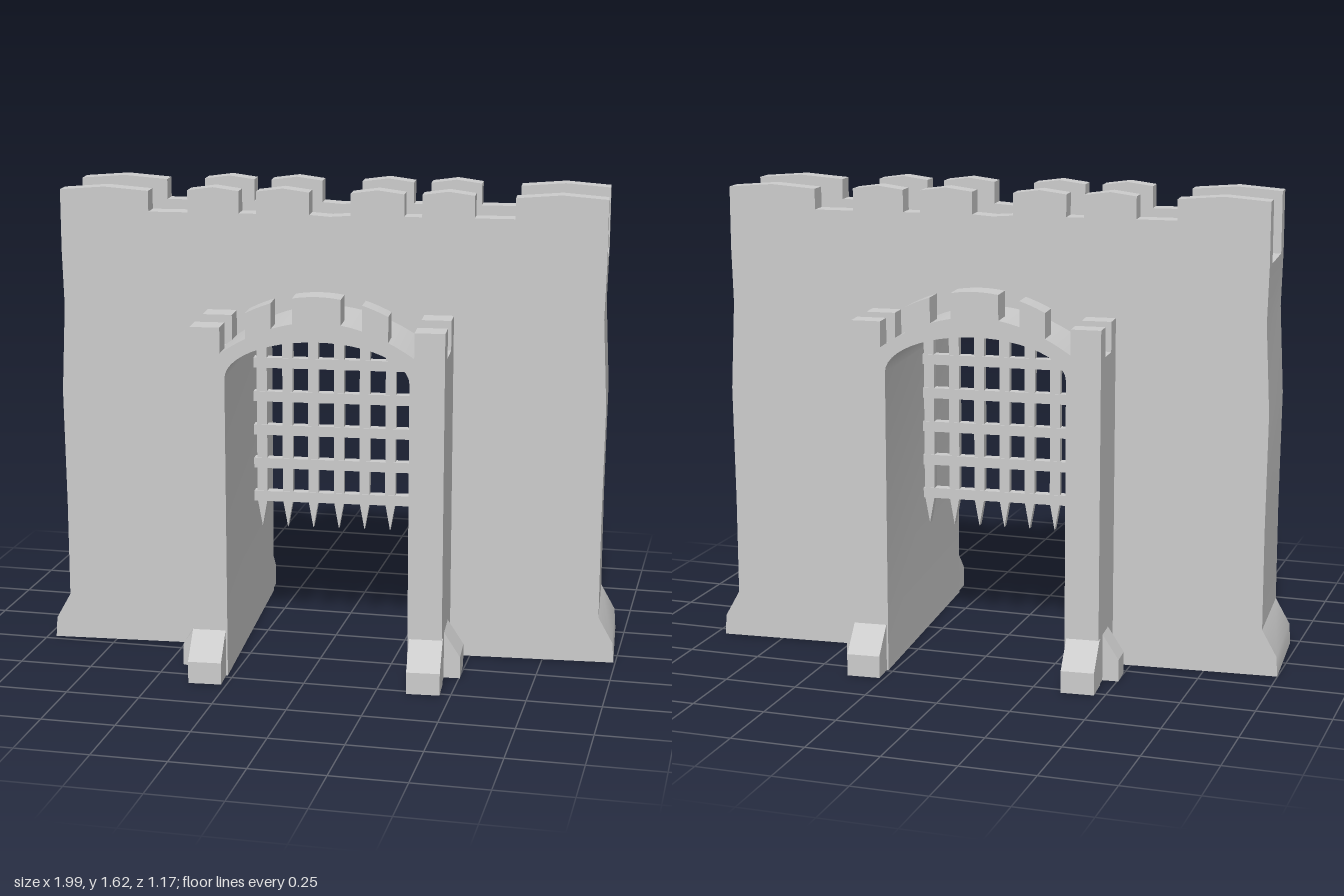
import * as THREE from 'three';
import { toCreasedNormals } from 'three/addons/utils/BufferGeometryUtils.js';

const material = new THREE.MeshStandardMaterial({ color: 0xcccccc, side: THREE.DoubleSide });

// Extrude an [x, y] outline from z0 to z1
function slab(points, z0, z1) {
  const shape = new THREE.Shape(points.map(([x, y]) => new THREE.Vector2(x, y)));
  const geo = new THREE.ExtrudeGeometry(shape, { depth: z1 - z0, bevelEnabled: false });
  return geo.translate(0, 0, z0);
}

// Drop the faces lying on the ground, leaving a hollow shell
function openBottom(geo) {
  const src = geo.index ? geo.toNonIndexed() : geo;
  const p = src.attributes.position;
  const kept = [];
  for (let i = 0; i < p.count; i += 3) {
    if (Math.max(p.getY(i), p.getY(i + 1), p.getY(i + 2)) < 0.001) continue;
    for (let k = i; k < i + 3; k++) kept.push(p.getX(k), p.getY(k), p.getZ(k));
  }
  const out = new THREE.BufferGeometry();
  out.setAttribute('position', new THREE.Float32BufferAttribute(kept, 3));
  out.computeVertexNormals();
  return out;
}

function add(parent, name, geo) {
  const mesh = new THREE.Mesh(toCreasedNormals(geo, 0.5), material);
  mesh.name = name;
  parent.add(mesh);
  return mesh;
}

// Points sampled along a curve y = f(x)
function sample(f, x0, x1, n) {
  return Array.from({ length: n + 1 }, (_, i) => {
    const x = x0 + ((x1 - x0) * i) / n;
    return [x, f(x)];
  });
}

const mirrorX = (pts) => pts.map(([x, y]) => [-x, y]).reverse();
const OPENING = 0.305;
const GATE = 0.42;
const roofY = (x) => 1.1 + 0.125 * Math.max(0, 1 - (x / 0.34) ** 2);
const archY = (x) => 1.03 + 0.13 * Math.sqrt(Math.max(0, 1 - (x / OPENING) ** 2));

// Long curtain wall with flared ends, walkway and two crenellated parapets
function buildWall() {
  const wall = new THREE.Group();
  wall.name = 'wall';
  const rightEdge = [[0.985, 0], [0.98, 0.07], [0.93, 0.16], [0.93, 0.5], [0.935, 0.9], [0.92, 1.2], [0.925, 1.39]];
  const notch = [[-0.4, 0], [-0.4, 1.06], [0, 1.17], [0.4, 1.06], [0.4, 0]];
  const outline = [...rightEdge, ...mirrorX(rightEdge), ...notch];
  add(wall, 'wallBody', openBottom(slab(outline, -0.225, 0.15)));

  // Half of the battlement line, from the middle to the end
  const half = [[0, 1.525]];
  for (const [a, b, top] of [[0.07, 0.25, 1.605], [0.31, 0.485, 1.605], [0.62, 0.925, 1.6]]) {
    half.push([a, 1.53], [a, top], [(a + b) / 2, top + 0.012], [b, top]);
    if (b < 0.9) half.push([b, 1.53]);
  }
  half.push([0.925, 1.385]);
  const parapet = [...mirrorX(half), ...half.slice(1)];
  add(wall, 'frontParapet', slab(parapet, 0.08, 0.15));
  add(wall, 'backParapet', slab(parapet, -0.225, -0.155));
  return wall;
}

// Vaulted gate passage running through the wall
function buildGate() {
  const gate = new THREE.Group();
  gate.name = 'gatehouse';
  const outline = [
    [-GATE, 0], [-GATE, 1.1], ...sample(roofY, -0.34, 0.34, 24), [GATE, 1.1], [GATE, 0],
    [OPENING, 0],
    ...Array.from({ length: 25 }, (_, i) => {
      const x = OPENING * Math.cos((Math.PI * i) / 24);
      return [x, archY(x)];
    }),
    [-OPENING, 0],
  ];
  add(gate, 'gatePassage', openBottom(slab(outline, -0.47, 0.46)));

  // Merlons following the arch, front and back
  for (const [z0, z1, label] of [[0.37, 0.46, 'front'], [-0.47, -0.38, 'back']]) {
    for (const [a, b] of [[-0.235, -0.15], [-0.08, 0.08], [0.15, 0.235]]) {
      const low = sample((x) => roofY(x) - 0.02, a, b, 6);
      const high = sample((x) => roofY(x) + 0.085, a, b, 6).reverse();
      add(gate, label + 'ArchMerlon', slab([...low, ...high], z0, z1));
    }
  }

  // Corner merlons and those on the sides against the wall
  for (const s of [-1, 1]) {
    for (const [z0, z1] of [[0.37, 0.46], [0.14, 0.24], [-0.47, -0.4], [-0.3, -0.21]]) {
      const box = new THREE.BoxGeometry(0.1, 0.12, z1 - z0);
      box.translate(s * (GATE - 0.05), 1.14, (z0 + z1) / 2);
      add(gate, 'sideMerlon', box);
    }
  }
  return gate;
}

// Sloped buttress foot pointing outward along its local x
function addFoot(parent, x, z, angle, reach, width) {
  const profile = [[-0.02, 0], [reach, 0], [reach, 0.075], [0, 0.16], [-0.02, 0.16]];
  const foot = add(parent, 'buttressFoot', openBottom(slab(profile, -width / 2, width / 2)));
  foot.position.set(x, 0, z);
  foot.rotation.y = angle;
}

function buildFeet() {
  const feet = new THREE.Group();
  feet.name = 'buttressFeet';
  for (const s of [-1, 1]) {
    addFoot(feet, s * 0.367, 0.46, -Math.PI / 2, 0.09, 0.112);
    addFoot(feet, s * 0.367, -0.47, Math.PI / 2, 0.085, 0.112);
    const side = s > 0 ? 0 : Math.PI;
    addFoot(feet, s * GATE, 0.31, side, 0.055, 0.135);
    addFoot(feet, s * GATE, -0.355, side, 0.055, 0.09);
  }
  return feet;
}

// Portcullis grid with spiked lower ends
function buildPortcullis() {
  const grid = new THREE.Group();
  grid.name = 'portcullis';
  for (let i = -3; i <= 3; i++) {
    const x = i * 0.0905;
    const w = 0.018;
    const top = archY(x) + 0.02;
    const bar = [[x - w, top], [x - w, 0.5], [x, 0.4], [x + w, 0.5], [x + w, top]];
    add(grid, 'verticalBar', slab(bar, -0.015, 0.015));
  }
  for (let j = 0; j < 6; j++) {
    const y = 0.51 + j * 0.12;
    const bar = new THREE.BoxGeometry(j === 5 ? 0.5 : 0.6, 0.036, 0.036);
    add(grid, 'crossBar', bar.translate(0, y, 0));
  }
  grid.position.set(0.012, 0, 0);
  return grid;
}

export function createModel() {
  const model = new THREE.Group();
  model.name = 'castleGate';
  const body = new THREE.Group();
  body.name = 'gateAssembly';
  body.add(buildWall(), buildGate(), buildFeet(), buildPortcullis());
  body.rotation.y = 0.078;
  model.add(body);
  return model;
}
